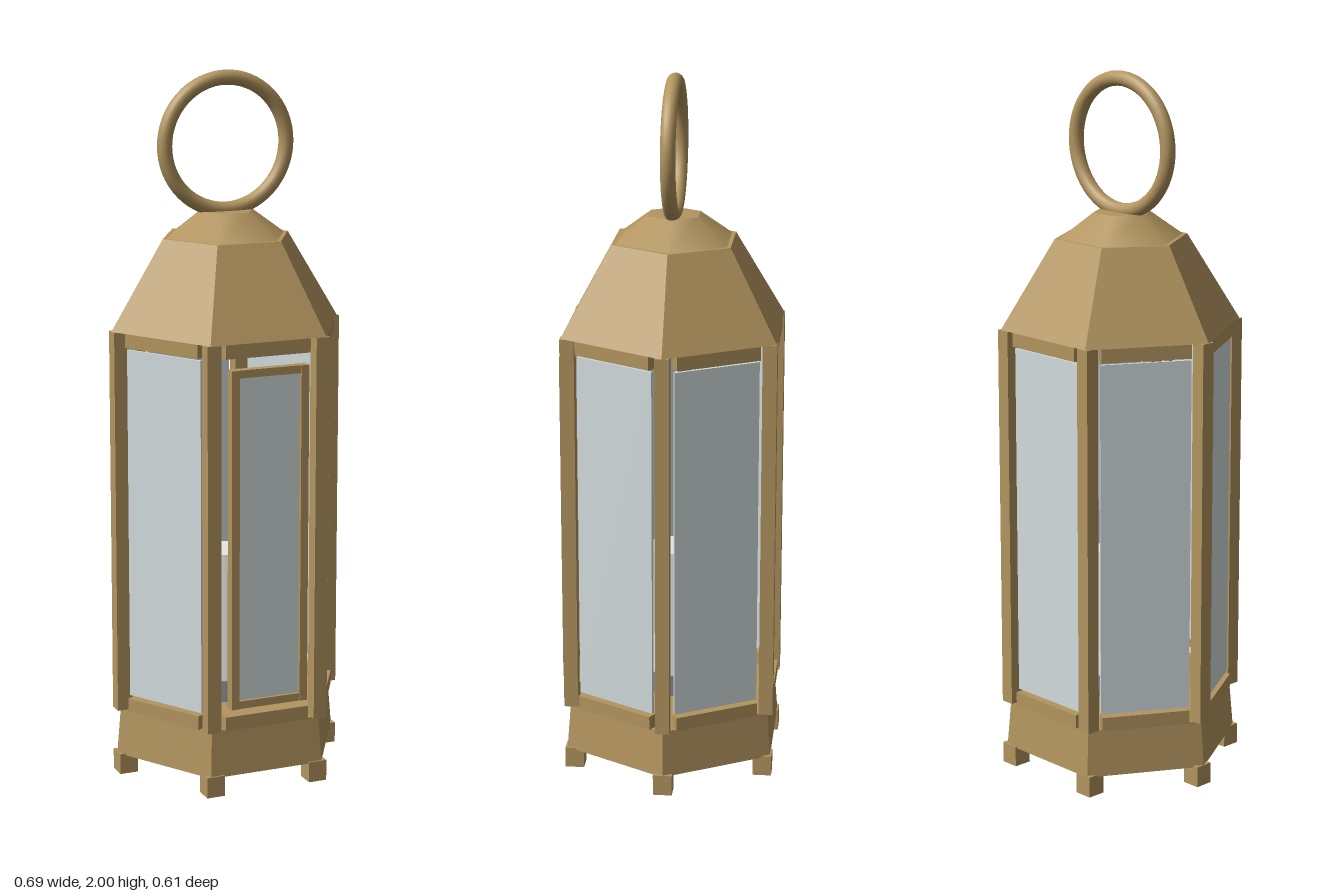
import * as THREE from 'three';

const material = (name, color, extra = {}) => {
  const m = new THREE.MeshStandardMaterial({ color, ...extra });
  m.name = name;
  return m;
};

export function createModel() {
  const brass = material('brass', 0xb3955f);
  const brassFlat = material('brass', 0xb3955f, { flatShading: true });
  const glass = material('glass', 0xd3dcde);
  const wax = material('wax', 0xf2f1ec);
  const steel = material('steel', 0x858a90);

  const root = new THREE.Group();
  root.name = 'lantern';
  const body = new THREE.Group();
  body.name = 'lanternBody';
  body.position.z = -0.007;
  root.add(body);

  const add = (parent, name, geometry, mat, x = 0, y = 0, z = 0) => {
    const mesh = new THREE.Mesh(geometry, mat);
    mesh.name = name;
    mesh.position.set(x, y, z);
    parent.add(mesh);
    return mesh;
  };
  const box = (parent, name, w, h, d, mat, x, y, z) =>
    add(parent, name, new THREE.BoxGeometry(w, h, d), mat, x, y, z);

  // Six-sided frustum with corners on the x axis
  const hex = (name, rTop, rBottom, y0, y1, mat) => {
    const g = new THREE.CylinderGeometry(rTop, rBottom, y1 - y0, 6);
    g.rotateY(Math.PI / 2);
    return add(body, name, g, mat, 0, (y0 + y1) / 2, 0);
  };

  hex('base', 0.328, 0.34, 0.055, 0.19, brassFlat);
  hex('roof', 0.19, 0.345, 1.29, 1.54, brassFlat);
  hex('cap', 0.08, 0.18, 1.538, 1.61, brass);

  // Carrying ring
  add(body, 'ring', new THREE.TorusGeometry(0.183, 0.021, 16, 64), brass, 0, 1.796, 0);

  // Feet and posts at the corners
  for (let i = 0; i < 6; i++) {
    const a = (i * Math.PI) / 3;
    const c = Math.cos(a), s = Math.sin(a);
    box(body, 'foot', 0.054, 0.06, 0.054, brass, 0.314 * c, 0.03, 0.314 * s);
    box(body, 'post', 0.04, 1.1, 0.04, brass, 0.324 * c, 0.74, 0.324 * s);
  }

  // Walls: rails all round, fixed panes on every side but the front
  const apothem = 0.281;
  for (let i = 0; i < 6; i++) {
    const wall = new THREE.Group();
    wall.name = i === 0 ? 'frontWall' : 'wall';
    wall.rotation.y = (i * Math.PI) / 3;
    body.add(wall);
    box(wall, 'topRail', 0.252, 0.04, 0.03, brass, 0, 1.27, apothem);
    box(wall, 'bottomRail', 0.252, 0.04, 0.03, brass, 0, 0.21, apothem);
    if (i > 0) box(wall, 'pane', 0.256, 1.006, 0.008, glass, 0, 0.74, apothem);
  }

  // Framed door on the front
  const door = new THREE.Group();
  door.name = 'door';
  door.position.set(0, 0.7375, 0.297);
  body.add(door);
  for (const s of [-1, 1]) {
    box(door, 'doorStile', 0.023, 0.965, 0.03, brass, s * 0.1035, 0, 0);
    box(door, 'doorRail', 0.184, 0.022, 0.026, brass, 0, s * 0.4715, 0);
  }
  box(door, 'doorPane', 0.188, 0.93, 0.008, glass, 0, 0, 0);

  // Candle on its holder
  add(body, 'candleHolder', new THREE.CylinderGeometry(0.08, 0.08, 0.065, 32), steel, 0, 0.22, 0);
  add(body, 'candle', new THREE.CylinderGeometry(0.075, 0.075, 0.38, 32), wax, 0, 0.44, 0);

  return root;
}
